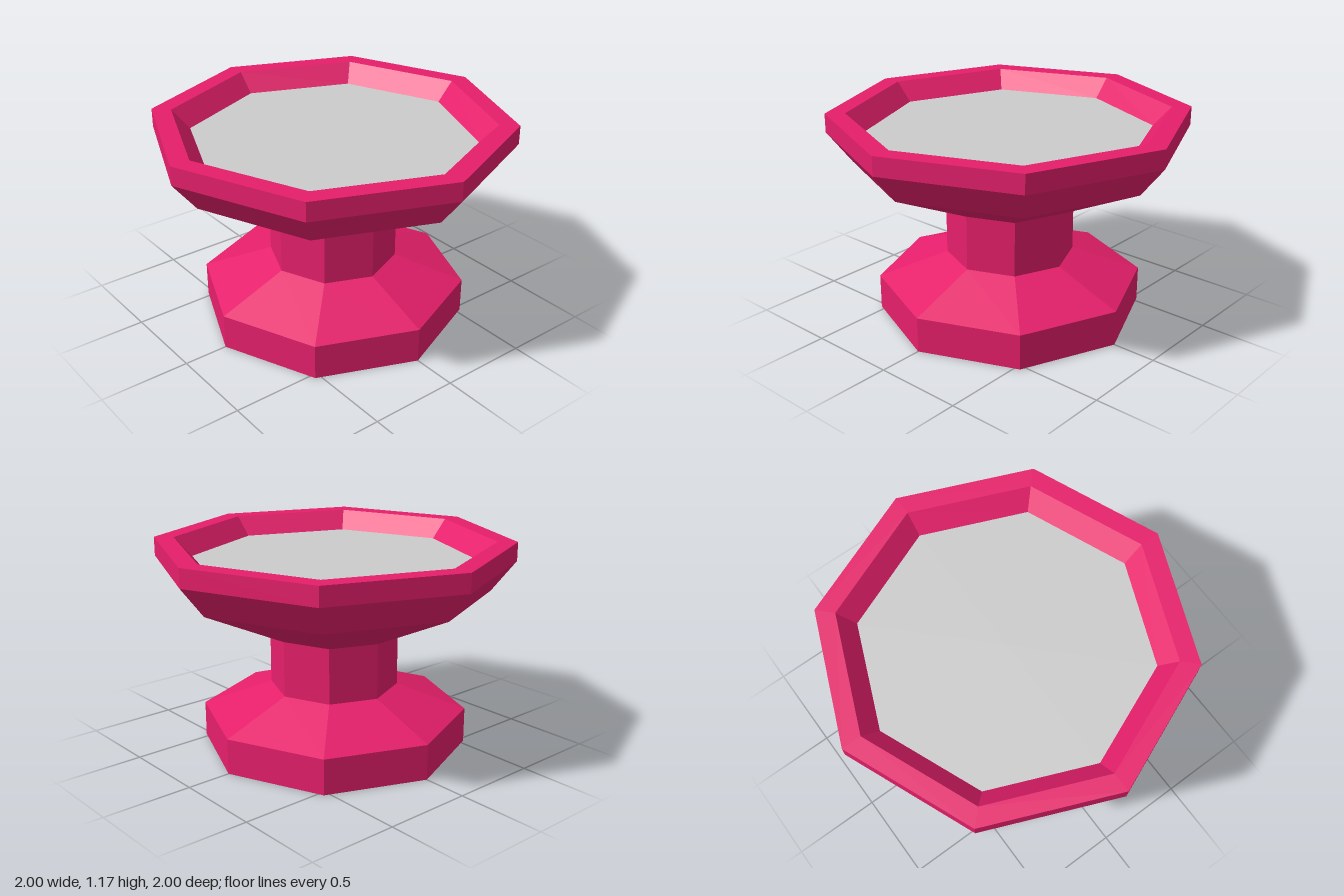
import * as THREE from 'three';

const SIDES = 8;

export function createModel() {
  const model = new THREE.Group();
  model.name = 'pedestalBowl';

  const pink = new THREE.MeshStandardMaterial({ color: 0xe61f6b, flatShading: true, side: THREE.DoubleSide });
  const grey = new THREE.MeshStandardMaterial({ color: 0xcccccc, flatShading: true, side: THREE.DoubleSide });

  // Turn a [radius, height] profile into an eight-sided shell
  const addTurned = (name, profile, material) => {
    const points = profile.map(([r, y]) => new THREE.Vector2(r, y));
    const mesh = new THREE.Mesh(new THREE.LatheGeometry(points, SIDES), material);
    mesh.name = name;
    model.add(mesh);
  };

  // Hollow foot, open underneath
  addTurned('foot', [[0.75, 0], [0.75, 0.2], [0.36, 0.345]], pink);

  // Hollow stem
  addTurned('stem', [[0.36, 0.345], [0.36, 0.66]], pink);

  // Flared bowl with an upright rim and sloping inner lip
  addTurned('bowl', [[0.36, 0.66], [0.865, 0.9], [1, 1.07], [1, 1.175], [0.89, 1.175], [0.79, 1.07]], pink);

  // Flat plate inside the bowl
  const plate = new THREE.Mesh(new THREE.CircleGeometry(0.79, SIDES), grey);
  plate.name = 'bowlPlate';
  plate.rotation.x = -Math.PI / 2;
  plate.position.y = 1.07;
  model.add(plate);

  return model;
}
